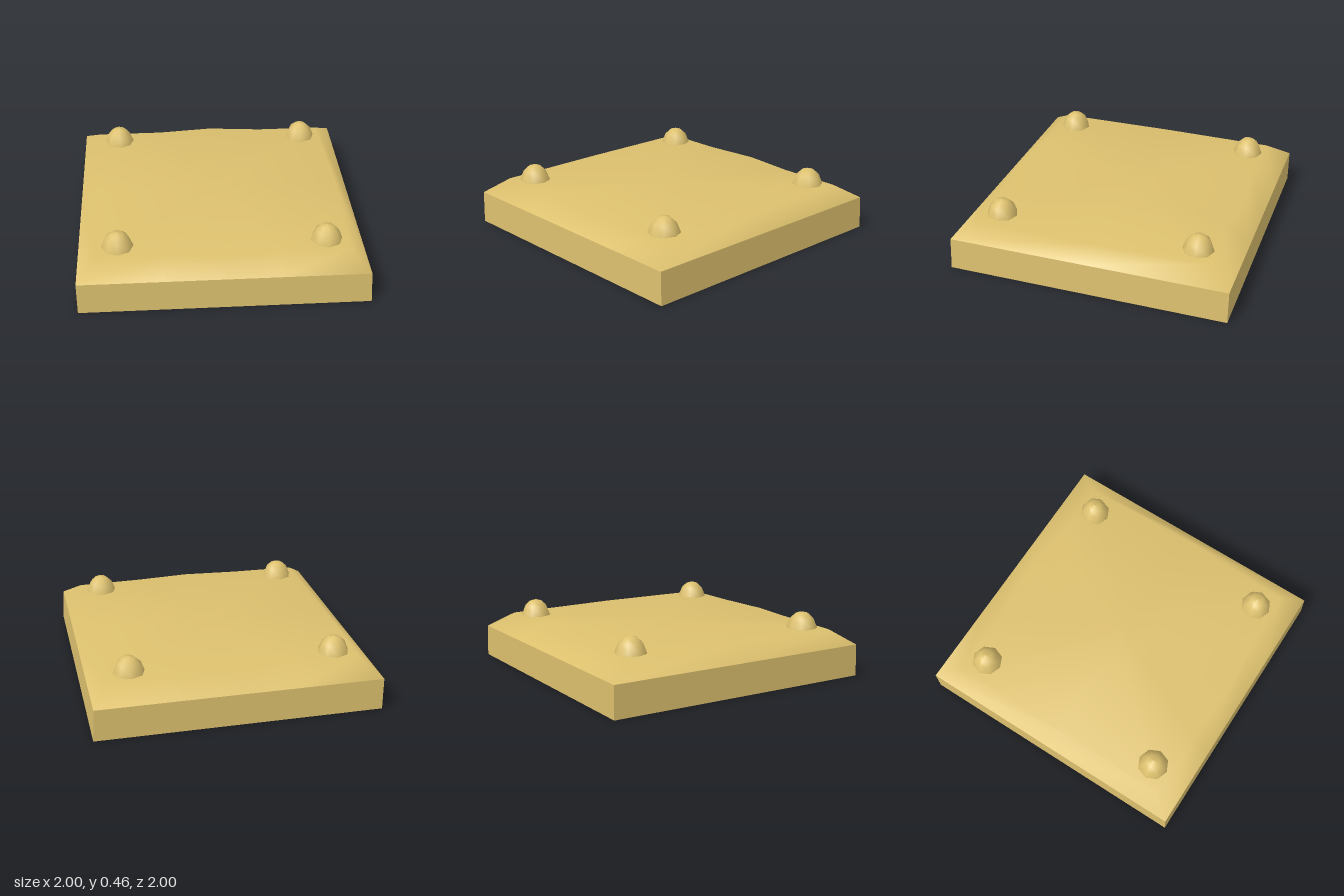
import * as THREE from 'three';

const material = new THREE.MeshStandardMaterial({ color: 0xdcc06e });
const EDGE_Y = 0.23, TOP_Y = 0.337;
const RIGHT_X = 0.988, FRONT_Z = 0.994; // slight lean of two upper edges

// Slab with its upper edges leaning in a little
function slabGeometry() {
  const geo = new THREE.BoxGeometry(2, EDGE_Y, 2).translate(0, EDGE_Y / 2, 0);
  const p = geo.attributes.position;
  for (let i = 0; i < p.count; i++) {
    if (p.getY(i) < 0.1) continue;
    if (p.getX(i) > 0) p.setX(i, RIGHT_X);
    if (p.getZ(i) > 0) p.setZ(i, FRONT_Z);
  }
  geo.computeVertexNormals();
  return geo;
}

// Sloping, softly shaded cap: an outer ring, a worn inner ring and a centre
function capGeometry() {
  const inner = [
    [-0.87, 0.84], [-0.4, 0.85], [0, 0.88], [0.4, 0.85], [0.86, 0.84], [0.89, 0],
    [0.86, -0.83], [0.4, -0.83], [0, -0.87], [-0.4, -0.83], [-0.87, -0.83], [-0.88, 0],
  ];
  const n = inner.length;
  const toEdge = (v, max) => (Math.abs(v) < 0.7 ? v : v > 0 ? max : -1);
  const points = [
    ...inner.map(([x, z]) => [toEdge(x, RIGHT_X), EDGE_Y, toEdge(z, FRONT_Z)]),
    ...inner.map(([x, z]) => [x, TOP_Y, z]),
    [0, TOP_Y, 0],
  ];
  const index = [];
  for (let i = 0; i < n; i++) {
    const j = (i + 1) % n;
    index.push(i, j, n + j, i, n + j, n + i, 2 * n, n + i, n + j);
  }
  const geo = new THREE.BufferGeometry();
  geo.setAttribute('position', new THREE.Float32BufferAttribute(points.flat(), 3));
  geo.setIndex(index);
  geo.computeVertexNormals();
  return geo;
}

// Eight-sided domed stud
function studGeometry() {
  const profile = [[0.112, 0.325], [0.108, 0.345], [0.083, 0.408], [0.045, 0.443], [0, 0.455]];
  return new THREE.LatheGeometry(profile.map(([r, y]) => new THREE.Vector2(r, y)), 8);
}

export function createModel() {
  const group = new THREE.Group();
  group.name = 'studdedPlate';
  const add = (name, geo) => {
    const mesh = new THREE.Mesh(geo, material);
    mesh.name = name;
    group.add(mesh);
    return mesh;
  };

  add('slab', slabGeometry());
  add('bevelledTop', capGeometry());

  // One stud near each corner
  const stud = studGeometry();
  for (const [zName, z] of [['front', 0.715], ['back', -0.715]]) {
    for (const [xName, x] of [['Left', 0.712], ['Right', -0.722]]) {
      const mesh = add(`${zName}${xName}Stud`, stud);
      mesh.position.set(x, 0, z);
      mesh.rotation.y = 0.05;
    }
  }
  return group;
}
